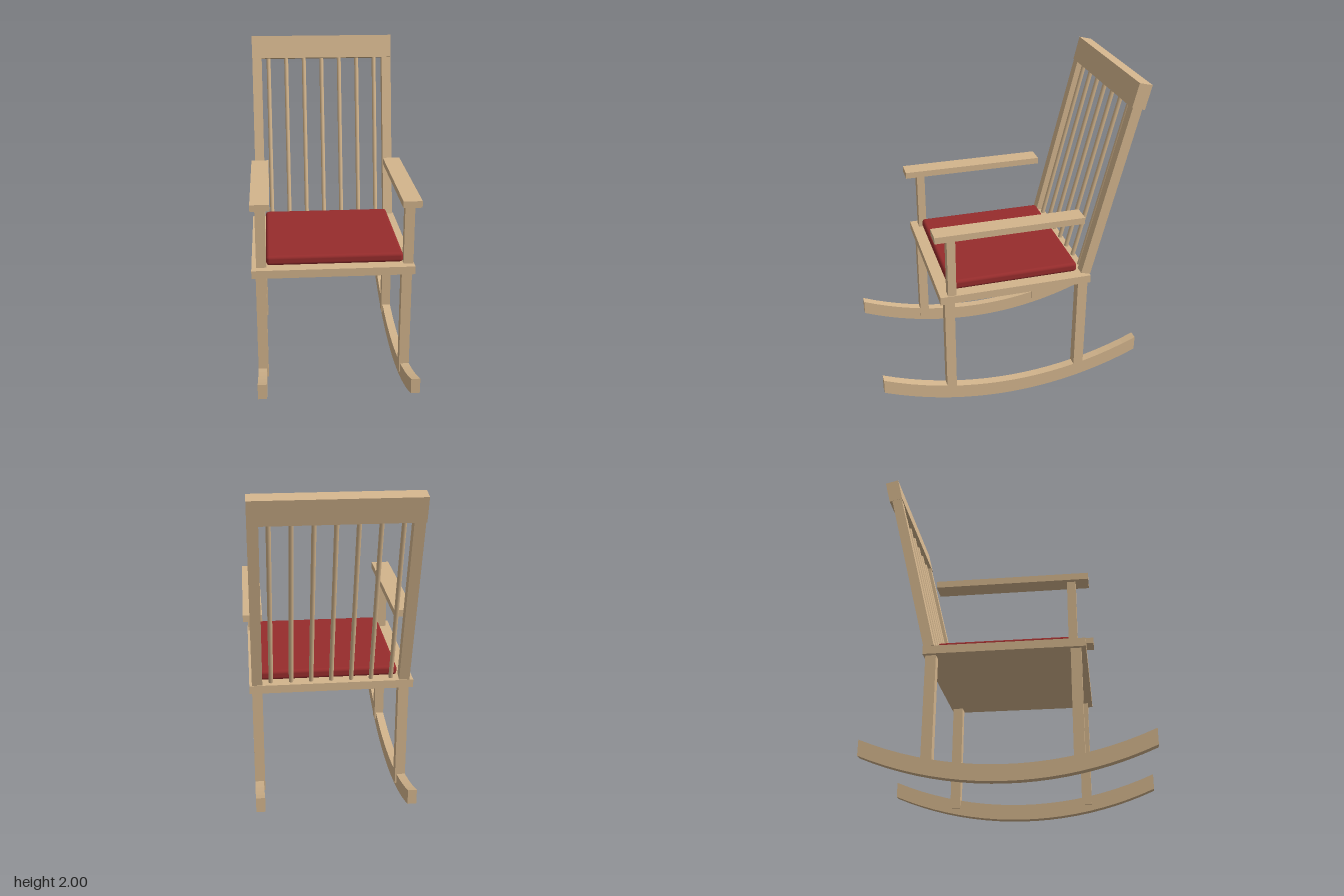
import * as THREE from 'three';
import { RoundedBoxGeometry } from 'three/addons/geometries/RoundedBoxGeometry.js';

export function createModel() {
  const group = new THREE.Group();
  group.name = 'rockingChair';
  const wood = new THREE.MeshStandardMaterial({ color: 0xd2b48c });
  wood.name = 'tan wood';
  const fabric = new THREE.MeshStandardMaterial({ color: 0x962c2c });
  fabric.name = 'red fabric';

  const add = (name, geometry, material = wood, parent = group) => {
    const mesh = new THREE.Mesh(geometry, material);
    mesh.name = name;
    parent.add(mesh);
    return mesh;
  };
  // Box given by its limits on each axis
  const box = (name, [x0, x1], [y0, y1], [z0, z1], parent = group) => {
    const mesh = add(name, new THREE.BoxGeometry(x1 - x0, y1 - y0, z1 - z0), wood, parent);
    mesh.position.set((x0 + x1) / 2, (y0 + y1) / 2, (z0 + z1) / 2);
    return mesh;
  };

  // Seat board and cushion
  box('seat', [-0.5, 0.47], [0.755, 0.805], [-0.477, 0.457]);
  const cushion = add('cushion', new RoundedBoxGeometry(0.82, 0.06, 0.8, 3, 0.02), fabric);
  cushion.position.set(-0.002, 0.835, -0.01);

  // Curved rocker outline: two parallel arcs with upright ends
  const half = 0.82, radius = 2.06, steps = 20;
  const rise = z => radius - Math.sqrt(radius * radius - z * z);
  const outline = [];
  for (let i = 0; i <= steps; i++) {
    const z = -half + (2 * half * i) / steps;
    outline.push(new THREE.Vector2(z, rise(z)));
  }
  for (let i = steps; i >= 0; i--) {
    const z = -half + (2 * half * i) / steps;
    outline.push(new THREE.Vector2(z, rise(z) + 0.093));
  }
  const rockerShape = new THREE.Shape(outline);

  // Sides: rocker, legs, arm post and armrest
  const sides = [
    { name: 'right', rocker: [-0.476, -0.424], leg: [-0.476, -0.414], post: [-0.472, -0.412], arm: [-0.498, -0.385] },
    { name: 'left', rocker: [0.402, 0.455], leg: [0.394, 0.455], post: [0.406, 0.465], arm: [0.382, 0.493] },
  ];
  for (const s of sides) {
    const rocker = add(s.name + 'Rocker', new THREE.ExtrudeGeometry(rockerShape, {
      depth: s.rocker[1] - s.rocker[0], bevelEnabled: false,
    }));
    rocker.rotation.y = Math.PI / 2;
    rocker.position.x = s.rocker[0];
    box(s.name + 'FrontLeg', s.leg, [0.08, 0.76], [0.37, 0.43]);
    box(s.name + 'BackLeg', s.leg, [0.08, 0.76], [-0.465, -0.403]);
    box(s.name + 'ArmPost', s.post, [0.8, 1.19], [0.36, 0.41]);
    box(s.name + 'Armrest', s.arm, [1.184, 1.224], [-0.41, 0.485]);
  }

  // Leaning back, built upright and then tilted about its foot
  const back = new THREE.Group();
  back.name = 'backrest';
  back.position.set(0, 0.815, -0.449);
  back.rotation.x = -0.237;
  group.add(back);
  for (const s of sides) box(s.name + 'BackPost', s.leg, [0, 1.1], [-0.03, 0.03], back);
  box('topRail', [-0.477, 0.455], [1.065, 1.211], [-0.047, 0.034], back);
  for (let i = 0; i < 7; i++) {
    const spindle = add('spindle' + (i + 1), new THREE.CylinderGeometry(0.0135, 0.0135, 1.09, 12), wood, back);
    spindle.position.set(-0.368 + i * 0.1185, 0.545, 0);
  }
  return group;
}
